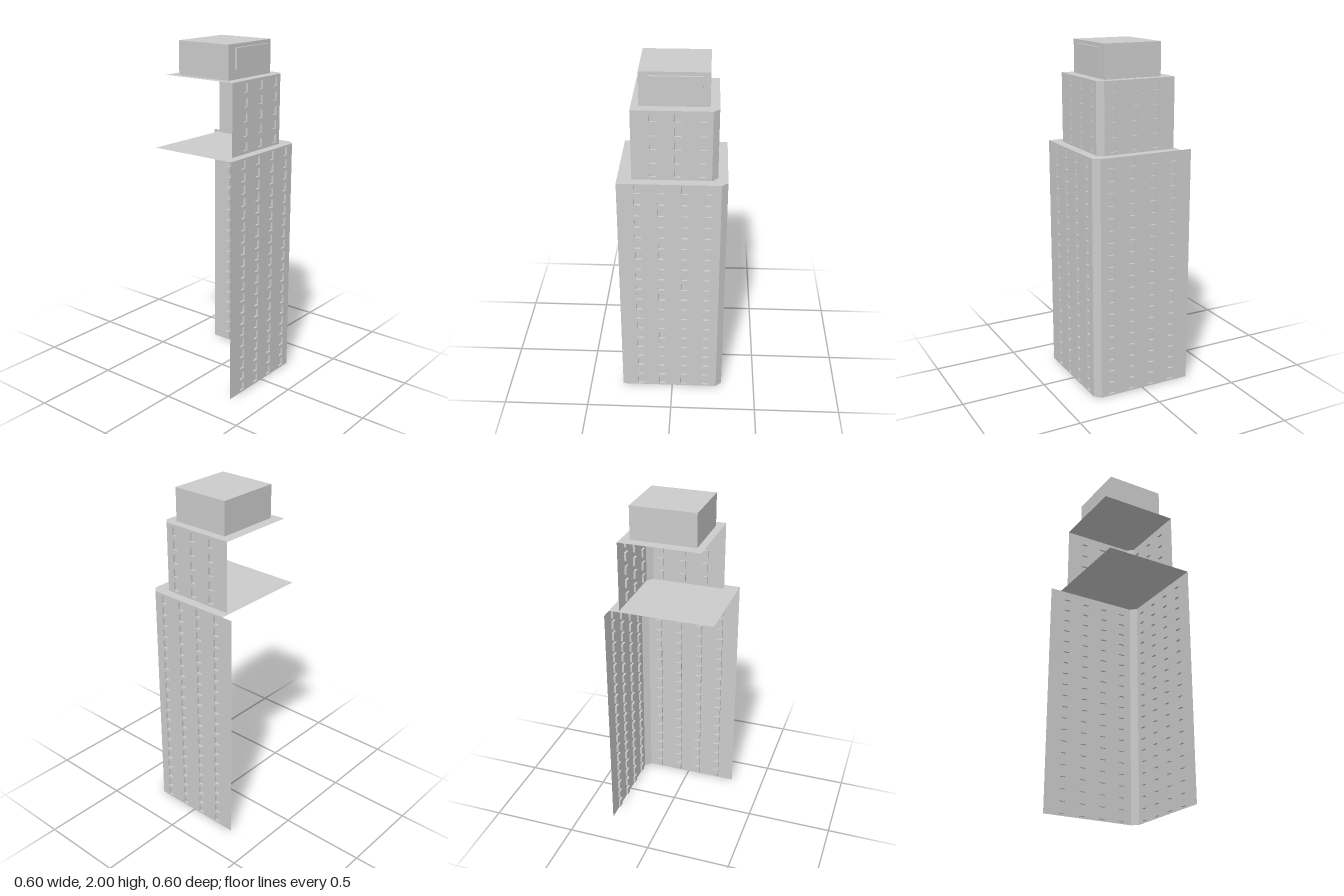
import * as THREE from 'three';
import { mergeGeometries } from 'three/addons/utils/BufferGeometryUtils.js';

const sheet = new THREE.MeshStandardMaterial({ color: 0xcccccc, side: THREE.DoubleSide, flatShading: true });
const solid = new THREE.MeshStandardMaterial({ color: 0xcccccc, flatShading: true });

const WIN_W = 0.035, WIN_H = 0.048, WIN_D = 0.012, PITCH = 0.07;

function rectPath(Type, x0, y0, x1, y1) {
  return new Type([[x0, y0], [x1, y0], [x1, y1], [x0, y1]].map(p => new THREE.Vector2(...p)));
}

function mesh(name, geometry, material) {
  const m = new THREE.Mesh(geometry, material);
  m.name = name;
  return m;
}

// Shallow window recess: a box without its outer face
function pocket(x, y) {
  const g = new THREE.BoxGeometry(WIN_W, WIN_H, WIN_D);
  const index = Array.from(g.index.array);
  index.splice(24, 6);
  g.setIndex(index);
  g.translate(x, y, -WIN_D / 2);
  return g;
}

// Thin wall in the xy plane facing +z, with a grid of recessed windows
function wall(name, x0, x1, height, columns) {
  const shape = rectPath(THREE.Shape, x0, 0, x1, height);
  const rows = Math.floor(height / PITCH + 0.1);
  const step = height / rows;
  const pockets = [];
  for (const x of columns) {
    for (let r = 0; r < rows; r++) {
      const y = (r + 0.5) * step;
      shape.holes.push(rectPath(THREE.Path, x - WIN_W / 2, y - WIN_H / 2, x + WIN_W / 2, y + WIN_H / 2));
      pockets.push(pocket(x, y));
    }
  }
  const group = new THREE.Group();
  group.name = name;
  group.add(mesh('wallFace', new THREE.ShapeGeometry(shape), sheet));
  group.add(mesh('windows', mergeGeometries(pockets), sheet));
  return group;
}

// One storey block: front wall, side wall, cut corner and flat roof; open behind
function tier({ name, y, height, left, right, front, wallBack, roofBack, cut, frontColumns, sideColumns }) {
  const group = new THREE.Group();
  group.name = name;
  group.position.y = y;

  const frontWall = wall('frontWall', left, right - cut, height, frontColumns);
  frontWall.position.z = front;

  const sideWall = wall('sideWall', cut - front, -wallBack, height, sideColumns.map(z => -z));
  sideWall.rotation.y = Math.PI / 2;
  sideWall.position.x = right;

  const corner = mesh('cutCorner', new THREE.PlaneGeometry(cut * Math.SQRT2, height), sheet);
  corner.rotation.y = Math.PI / 4;
  corner.position.set(right - cut / 2, height / 2, front - cut / 2);

  // Roof outline uses (x, -z)
  const outline = new THREE.Shape([
    [left, -front], [right - cut, -front], [right, cut - front], [right, -roofBack], [left, -roofBack],
  ].map(p => new THREE.Vector2(...p)));
  const roof = mesh('roof', new THREE.ShapeGeometry(outline), sheet);
  roof.rotation.x = -Math.PI / 2;
  roof.position.y = height;

  group.add(frontWall, sideWall, corner, roof);
  return group;
}

// Closed box given by its limits
function block(name, [x0, x1], [y0, y1], [z0, z1]) {
  const m = mesh(name, new THREE.BoxGeometry(x1 - x0, y1 - y0, z1 - z0), solid);
  m.position.set((x0 + x1) / 2, (y0 + y1) / 2, (z0 + z1) / 2);
  return m;
}

export function createModel() {
  const model = new THREE.Group();
  model.name = 'tower';

  model.add(tier({
    name: 'lowerTier', y: 0, height: 1.407, left: -0.302, right: 0.302, front: 0.302,
    wallBack: -0.302, roofBack: -0.236, cut: 0.034,
    frontColumns: [-0.19, -0.06, 0.07, 0.2], sideColumns: [0.2, 0.07, -0.06, -0.19],
  }));
  model.add(tier({
    name: 'upperTier', y: 1.407, height: 0.403, left: -0.222, right: 0.247, front: 0.248,
    wallBack: -0.22, roofBack: -0.222, cut: 0.033,
    frontColumns: [-0.105, 0.03, 0.165], sideColumns: [0.155, 0.025, -0.105],
  }));

  // Rooftop block with a flat panel on its front
  model.add(block('rooftopBlock', [-0.18, 0.197], [1.81, 2], [-0.16, 0.189]));
  model.add(block('frontPanel', [-0.127, 0.159], [1.862, 1.98], [0.189, 0.203]));

  return model;
}
